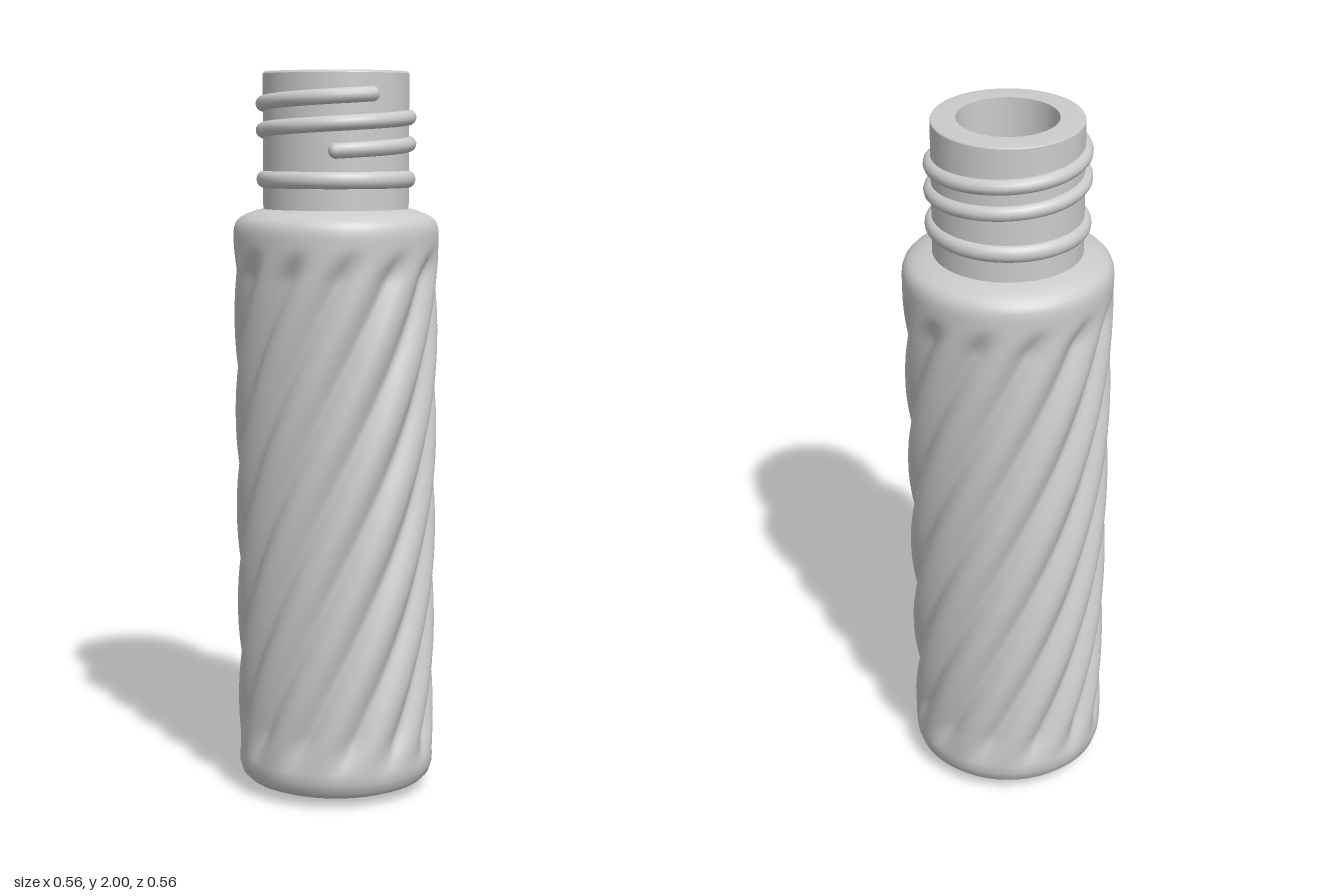
import * as THREE from 'three';
import { mergeVertices } from 'three/addons/utils/BufferGeometryUtils.js';

const material = new THREE.MeshStandardMaterial({ color: 0xcccccc, roughness: 0.6 });
const FLUTES = 12;
const FLUTE_RISE = 0.27; // height between neighbouring flutes
const FLUTE_DEPTH = 0.032;

const points = (list) => list.map(([r, y]) => new THREE.Vector2(r, y));

function addMesh(group, name, geometry) {
  const mesh = new THREE.Mesh(geometry, material);
  mesh.name = name;
  group.add(mesh);
  return mesh;
}

function addLathe(group, name, profile, segments = 96) {
  return addMesh(group, name, new THREE.LatheGeometry(points(profile), segments));
}

// Plain turned body, then twisted rounded ribs that fade out at both ends
function twistedBody() {
  const profile = [[0, 0], [0.1, 0.003], [0.18, 0.011], [0.225, 0.02], [0.25, 0.03], [0.265, 0.045], [0.273, 0.07]];
  const rows = 140;
  for (let i = 0; i <= rows; i++) {
    const t = i / rows;
    profile.push([0.275 + 0.007 * t, 0.09 + 1.47 * t]);
  }
  profile.push([0.281, 1.578], [0.275, 1.594], [0.264, 1.606], [0.245, 1.616], [0.222, 1.625], [0.198, 1.63]);

  const geometry = new THREE.LatheGeometry(points(profile), 216);
  const pos = geometry.attributes.position;
  for (let i = 0; i < pos.count; i++) {
    const x = pos.getX(i), y = pos.getY(i), z = pos.getZ(i);
    const fade = THREE.MathUtils.smoothstep(y, 0.07, 0.2) * (1 - THREE.MathUtils.smoothstep(y, 1.44, 1.54));
    const r = Math.hypot(x, z);
    if (fade === 0 || r === 0) continue;
    const phase = FLUTES * Math.atan2(x, z) - (2 * Math.PI * (y - 0.22)) / FLUTE_RISE + Math.PI;
    const rib = Math.sqrt(Math.cos(phase / 2) ** 2 + 0.02);
    const scale = (r - FLUTE_DEPTH * fade * Math.max(0, 1 - rib)) / r;
    pos.setX(i, x * scale);
    pos.setZ(i, z * scale);
  }
  // weld the seam so the normals stay smooth all round
  geometry.deleteAttribute('uv');
  geometry.deleteAttribute('normal');
  const welded = mergeVertices(geometry, 1e-5);
  welded.computeVertexNormals();
  return welded;
}

// Screw thread climbing the neck
class ThreadCurve extends THREE.Curve {
  getPoint(t, target = new THREE.Vector3()) {
    const turns = 2.08;
    const a = -0.26 + t * turns * Math.PI * 2;
    return target.set(0.199 * Math.sin(a), 1.788 + 0.072 * turns * t, 0.199 * Math.cos(a));
  }
}

export function createModel() {
  const bottle = new THREE.Group();
  bottle.name = 'bottle';

  addMesh(bottle, 'twistedBody', twistedBody());

  // Neck wall, rim and hollow
  addLathe(bottle, 'neck', [[0.2, 1.61], [0.2, 1.8], [0.2, 1.994]]);
  addLathe(bottle, 'rim', [[0.2, 1.994], [0.197, 2], [0.134, 2]]);
  const bore = [[0.134, 2], [0.134, 1.2]];
  for (let i = 0; i <= 12; i++) {
    const a = (i / 12) * Math.PI / 2;
    bore.push([0.134 * Math.cos(a), 0.2 - 0.134 * Math.sin(a)]);
  }
  addLathe(bottle, 'bore', bore);

  // Collar bead under the thread
  const bead = [];
  for (let i = 0; i <= 10; i++) {
    const a = -Math.PI / 2 + (i / 10) * Math.PI;
    bead.push([0.199 + 0.019 * Math.cos(a), 1.71 + 0.023 * Math.sin(a)]);
  }
  addLathe(bottle, 'collarBead', bead);

  // Thread with rounded ends
  const thread = new THREE.Group();
  thread.name = 'thread';
  bottle.add(thread);
  const path = new ThreadCurve();
  const radius = 0.021;
  addMesh(thread, 'threadRidge', new THREE.TubeGeometry(path, 200, radius, 12));
  for (const t of [0, 1]) {
    const end = addMesh(thread, 'threadEnd', new THREE.SphereGeometry(radius, 16, 12));
    end.position.copy(path.getPoint(t));
  }
  return bottle;
}
